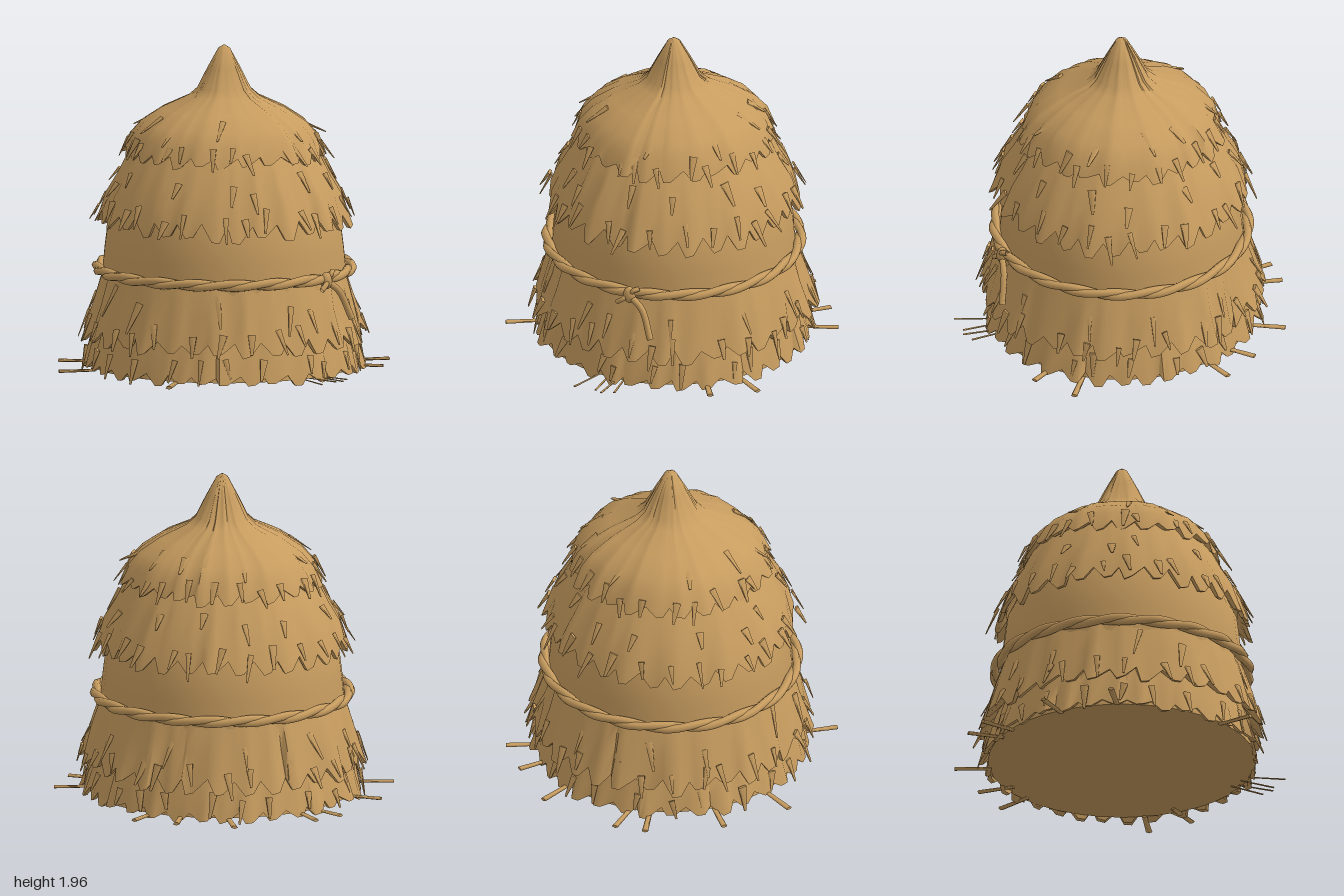
import * as THREE from 'three';
import { mergeGeometries, toCreasedNormals } from 'three/addons/utils/BufferGeometryUtils.js';

export function createModel() {
  const straw = new THREE.MeshStandardMaterial({ color: 0xc79c5f, side: THREE.DoubleSide });
  straw.name = 'straw';
  const model = new THREE.Group();
  model.name = 'thatchedHaystack';

  // seeded random numbers
  let seed = 11;
  const rand = (lo = 0, hi = 1) => {
    seed = (seed * 16807) % 2147483647;
    return lo + (hi - lo) * (seed / 2147483647);
  };

  const add = (name, geometry, parent = model) => {
    const mesh = new THREE.Mesh(geometry, straw);
    mesh.name = name;
    parent.add(mesh);
    return mesh;
  };

  // closed rings of points, listed top to bottom, joined into a smooth surface
  function loft(rings) {
    const n = rings[0].length;
    const index = [];
    for (let i = 0; i < rings.length - 1; i++) {
      for (let j = 0; j < n; j++) {
        const a = i * n + j, b = i * n + (j + 1) % n;
        index.push(a, a + n, b, b, a + n, b + n);
      }
    }
    const geo = new THREE.BufferGeometry();
    geo.setAttribute('position', new THREE.Float32BufferAttribute(rings.flat(2), 3));
    geo.setIndex(index);
    return toCreasedNormals(geo, 1.0);
  }

  const polar = (a, r, y) => [Math.sin(a) * r, y, Math.cos(a) * r];

  // one layer of thatch: profile of [radius, height], ending in a ragged hem
  function skirt(name, profile, teeth, depth, inner, lumps) {
    const cols = [];
    for (let t = 0; t < teeth; t++) {
      const shift = rand(-0.2, 0.2), tip = depth * rand(0.55, 1.1), flare = rand(-0.025, 0.03);
      const corners = [
        [0, -depth * rand(0, 0.35), -0.02],
        [0.3 + shift, tip, flare],
        [0.6 + shift, tip * rand(0.75, 1), flare + rand(-0.01, 0.015)],
      ];
      for (const [u, drop, out] of corners) {
        cols.push({ a: ((t + u) / teeth) * Math.PI * 2, drop, out, lump: rand(-lumps, lumps) });
      }
    }
    const last = profile.length - 1;
    const rings = profile.map(([r, y], i) => cols.map(({ a, drop, out, lump }) => {
      const k = i / last;
      if (i === last) return polar(a, r + out, y - drop);
      return polar(a, r + (out * k + lump * k) * 0.6, y);
    }));
    // underside turning back to the body
    rings.push(cols.map(({ a, drop, out }) => polar(a, profile[last][0] + out - 0.025, profile[last][1] - drop + 0.005)));
    rings.push(cols.map(({ a }) => polar(a, inner, profile[last][1] + depth * 0.5)));
    add(name, loft(rings));
  }

  // pointed straw blade hanging outward from the surface
  function blade(a, r, y, length, width, tilt) {
    const geo = new THREE.CylinderGeometry(width * 0.3, width, length, 4, 1);
    geo.rotateY(Math.PI / 4).scale(1, 1, 0.4);
    geo.rotateX(Math.PI).rotateZ(rand(-0.25, 0.25)).rotateX(-tilt).rotateY(a);
    return geo.translate(...polar(a, r, y)).toNonIndexed();
  }

  function tufts(name, count, r0, r1, y0, y1, tilt, length = 0.13) {
    const blades = [];
    for (let i = 0; i < count; i++) {
      const k = rand();
      blades.push(blade(((i + rand(-0.35, 0.35)) / count) * Math.PI * 2,
        r0 + (r1 - r0) * k, y0 + (y1 - y0) * k, length * rand(0.75, 1.25), rand(0.02, 0.035), tilt + rand(-0.1, 0.15)));
    }
    add(name, mergeGeometries(blades));
  }

  // body core with closed base
  const core = [[0, 0.05], [0.8, 0.05], [0.74, 0.35], [0.73, 0.6], [0.715, 0.75], [0.69, 0.95], [0.5, 1.35], [0.1, 1.6]];
  add('body', toCreasedNormals(new THREE.LatheGeometry(core.map(([r, y]) => new THREE.Vector2(r, y)), 40), 0.8));

  // thatch layers
  skirt('bottomThatch', [[0.72, 0.4], [0.775, 0.24], [0.825, 0.07]], 34, 0.05, 0.79, 0.035);
  skirt('lowerThatch', [[0.71, 0.66], [0.735, 0.58], [0.775, 0.44], [0.835, 0.27]], 32, 0.075, 0.75, 0.03);
  skirt('upperThatch', [[0.5, 1.42], [0.57, 1.33], [0.635, 1.2], [0.7, 1.09], [0.755, 0.97]], 30, 0.08, 0.69, 0.02);
  skirt('capThatch', [[0.004, 1.97], [0.035, 1.95], [0.1, 1.83], [0.16, 1.71], [0.21, 1.665], [0.37, 1.59],
    [0.49, 1.51], [0.56, 1.43], [0.605, 1.355]], 26, 0.055, 0.5, 0.012);

  // loose blades over each layer
  tufts('capTufts', 9, 0.46, 0.54, 1.53, 1.46, 1.0, 0.15);
  tufts('capHemTufts', 24, 0.58, 0.62, 1.39, 1.33, 0.55, 0.12);
  tufts('upperTufts', 14, 0.63, 0.71, 1.23, 1.1, 0.6, 0.12);
  tufts('upperHemTufts', 28, 0.74, 0.78, 1.02, 0.95, 0.45, 0.14);
  tufts('lowerTufts', 12, 0.77, 0.81, 0.48, 0.38, 0.4, 0.17);
  tufts('lowerHemTufts', 28, 0.82, 0.86, 0.32, 0.25, 0.35, 0.14);
  tufts('bottomTufts', 24, 0.81, 0.84, 0.15, 0.09, 0.25, 0.13);

  // straws lying on the ground: [x, z] of each outer end
  const ends = [[-0.23, 0.98], [-0.12, 0.97], [-0.06, 0.99], [0, 0.96], [0.79, 0.62], [-0.94, 0.35], [-0.88, -0.54], [0.8, -0.53],
    [0.93, -0.32], [0.58, -0.82], [-0.55, -0.83], [-0.1, -1], [0.07, -1], [0.56, 0.77]];
  const straws = ends.map(([x, z], i) => {
    const a = Math.atan2(x, z), r = Math.hypot(x, z), w = i < 4 ? 0.008 : 0.02;
    const geo = new THREE.CylinderGeometry(w, w * 0.8, 0.22, 5);
    geo.scale(1, 1, 0.5).rotateX(Math.PI / 2).rotateY(a + rand(-0.15, 0.15));
    return geo.translate(...polar(a, r - 0.11, 0.045));
  });
  add('groundStraws', mergeGeometries(straws));

  // twisted rope belt, two strands wound round each other
  const belt = new THREE.Group();
  belt.name = 'ropeBelt';
  model.add(belt);
  for (let s = 0; s < 2; s++) {
    const points = [];
    for (let i = 0; i < 120; i++) {
      const a = (i / 120) * Math.PI * 2, w = a * 10 + s * Math.PI;
      points.push(new THREE.Vector3(...polar(a, 0.755 + 0.012 * Math.cos(w), 0.63 + 0.012 * Math.sin(w))));
    }
    const path = new THREE.CatmullRomCurve3(points, true);
    add('ropeStrand', new THREE.TubeGeometry(path, 180, 0.025, 7, true), belt);
  }

  // knot with hanging tail ends
  const knot = add('knot', new THREE.SphereGeometry(0.05, 10, 8), belt);
  knot.position.set(0.03, 0.62, 0.775);
  knot.scale.set(0.8, 1.05, 0.7);
  const tails = [
    [[0.04, 0.61, 0.78], [0.12, 0.55, 0.8], [0.19, 0.38, 0.84], 0.02],
    [[0.03, 0.62, 0.78], [0, 0.6, 0.8], [-0.04, 0.57, 0.8], 0.016],
    [[0.04, 0.63, 0.78], [0.06, 0.66, 0.79], [0.09, 0.67, 0.77], 0.016],
  ];
  for (const [a, b, c, r] of tails) {
    const path = new THREE.CatmullRomCurve3([a, b, c].map((p) => new THREE.Vector3(...p)));
    add('ropeTail', new THREE.TubeGeometry(path, 8, r, 6), belt);
  }

  return model;
}
